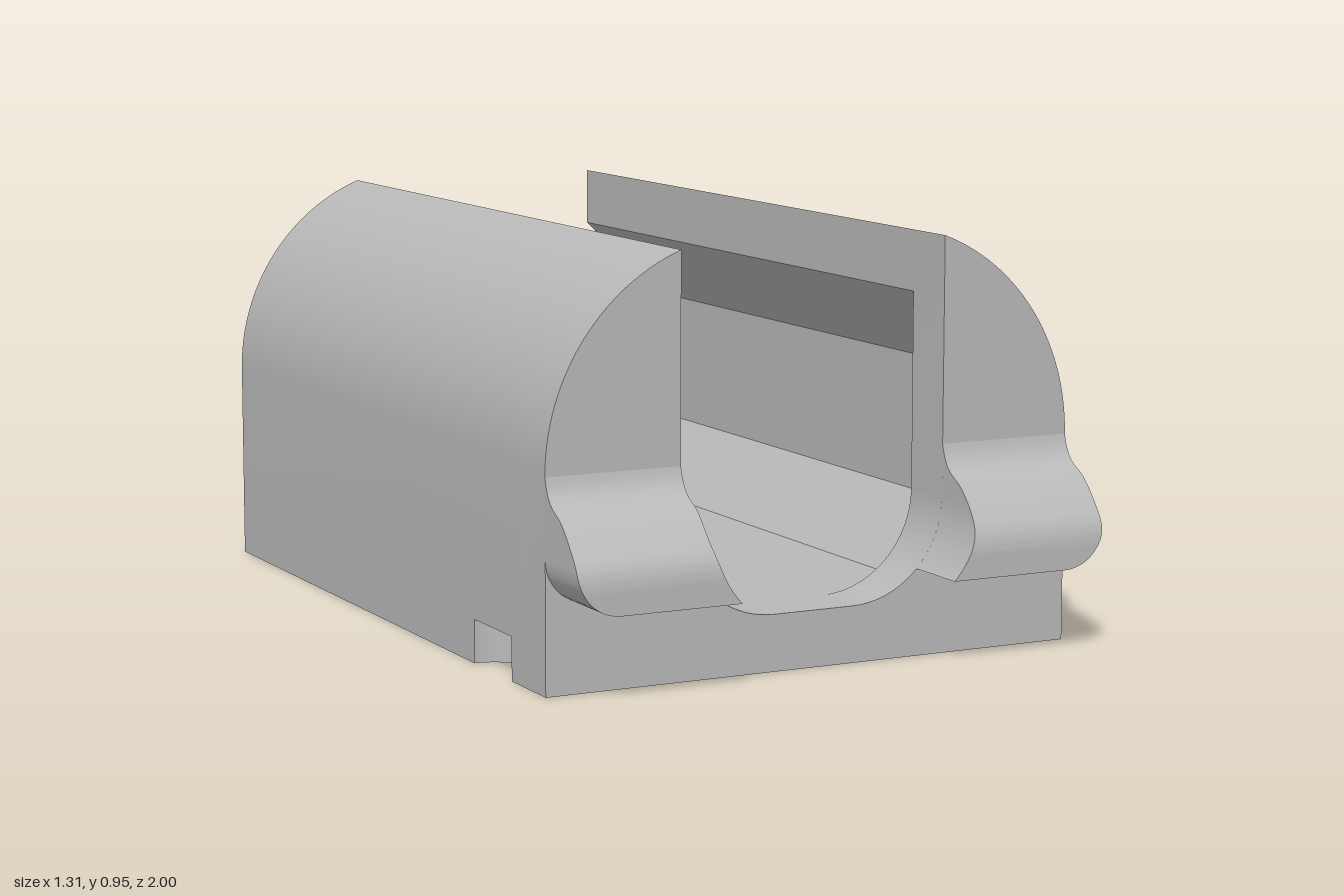
import * as THREE from 'three';
import { toCreasedNormals } from 'three/addons/utils/BufferGeometryUtils.js';

const W = 0.655, FRONT = 0.835, WALL = 0.70, BACK = -1, SLAB = 0.1;
const grey = new THREE.MeshStandardMaterial({ color: 0xb8b8b8 });

function mesh(name, geometry) {
  const m = new THREE.Mesh(toCreasedNormals(geometry, 0.5), grey);
  m.name = name;
  return m;
}

function arc(cx, cy, r, a0, a1, n) {
  return Array.from({ length: n + 1 }, (_, i) => {
    const a = a0 + (a1 - a0) * i / n;
    return new THREE.Vector2(cx + r * Math.cos(a), cy + r * Math.sin(a));
  });
}

// Mirrored cross-section: rounded shoulders outside, given half profile inside
function section(innerHalf, z0, z1) {
  const half = [
    new THREE.Vector2(W, SLAB),
    ...arc(0.153, 0.48, 0.502, 0, Math.atan2(0.47, 0.177), 28),
    ...innerHalf,
  ];
  const mirrored = half.map(p => new THREE.Vector2(-p.x, p.y)).reverse();
  const g = new THREE.ExtrudeGeometry(new THREE.Shape([...half, ...mirrored]),
    { depth: z1 - z0, bevelEnabled: false });
  return g.translate(0, 0, z0);
}

// Bottom slab with keyed blind holes and a half-round edge notch
function baseSlab() {
  const s = new THREE.Shape();
  s.moveTo(-W, BACK);
  s.lineTo(W, BACK);
  s.lineTo(W, FRONT);
  s.lineTo(-W, FRONT);
  s.lineTo(-W, 0.66);
  s.absarc(-W, 0.56, 0.1, Math.PI / 2, -Math.PI / 2, true);
  s.closePath();

  const holes = [
    [0.46, -0.764, 0.09], [0.34, -0.461, 0.11], [0.327, -0.168, 0.09], [0.325, 0.325, 0.09],
    [0.06, 0.62, 0.09], [-0.44, 0.62, 0.09], [-0.465, -0.764, 0.09],
  ];
  for (const [x, z, r] of holes) {
    const tip = r * 1.28, a = Math.acos(r / tip);
    s.holes.push(new THREE.Path([
      ...arc(x, z, r, Math.PI / 2 + a, Math.PI * 2.5 - a, 24),
      new THREE.Vector2(x, z + tip),
    ]));
  }
  s.holes.push(new THREE.Path(arc(0.342, 0.58, 0.11, 0, Math.PI * 2, 32).slice(0, -1)));

  const g = new THREE.ExtrudeGeometry(s, { depth: SLAB, bevelEnabled: false, curveSegments: 20 });
  return g.rotateX(Math.PI / 2).translate(0, SLAB, 0);
}

// Front lug: stacked rectangles whose width and reach vary with height
function lug(side) {
  const nose = new THREE.SplineCurve([
    [0.832, 0.49], [0.845, 0.45], [0.868, 0.42], [0.92, 0.388],
    [0.975, 0.325], [0.994, 0.29], [1, 0.26],
  ].map(p => new THREE.Vector2(...p)));
  const rows = nose.getPoints(30).map(p => [p.y, p.x]);
  for (let i = 1; i <= 8; i++) rows.push([0.2 + 0.06 * (1 - i / 8) ** 2, 1]);

  const rings = rows.map(([y, z]) => {
    const dIn = Math.max(0, 0.36 - y), dOut = Math.max(0, 0.3 - y);
    const inner = 0.1 + Math.sqrt(0.23 ** 2 - dIn ** 2);
    const outer = W - 0.1 + Math.sqrt(Math.max(0, 0.01 - dOut ** 2));
    const back = FRONT - 0.005;
    return [[inner, back], [inner, z], [outer, z], [outer, back]].map(([x, d]) => [side * x, y, d]);
  });

  const pos = [];
  const quad = (a, b, c, d) => {
    const tris = side > 0 ? [a, b, c, a, c, d] : [a, c, b, a, d, c];
    tris.forEach(v => pos.push(...v));
  };
  for (let i = 0; i + 1 < rings.length; i++) {
    const t = rings[i], b = rings[i + 1];
    for (let k = 0; k < 4; k++) {
      const n = (k + 1) % 4;
      quad(t[k], b[k], b[n], t[n]);
    }
  }
  quad(...rings[0]);
  quad(...[...rings[rings.length - 1]].reverse());

  const g = new THREE.BufferGeometry();
  g.setAttribute('position', new THREE.Float32BufferAttribute(pos, 3));
  g.computeVertexNormals();
  return g;
}

export function createModel() {
  const group = new THREE.Group();
  group.name = 'channelHousing';

  // Long channel with undercut lips
  const channel = [[0.33, 0.81], [0.525, 0.615], [0.525, 0.29], [0.36, 0.13]]
    .map(p => new THREE.Vector2(...p));
  // Front wall with a U-shaped opening
  const opening = arc(0.1, 0.36, 0.23, 0, -Math.PI / 2, 20);

  group.add(
    mesh('baseSlab', baseSlab()),
    mesh('channelBody', section(channel, BACK, WALL)),
    mesh('frontWall', section(opening, WALL, FRONT)),
    mesh('leftLug', lug(1)),
    mesh('rightLug', lug(-1)),
  );
  return group;
}
